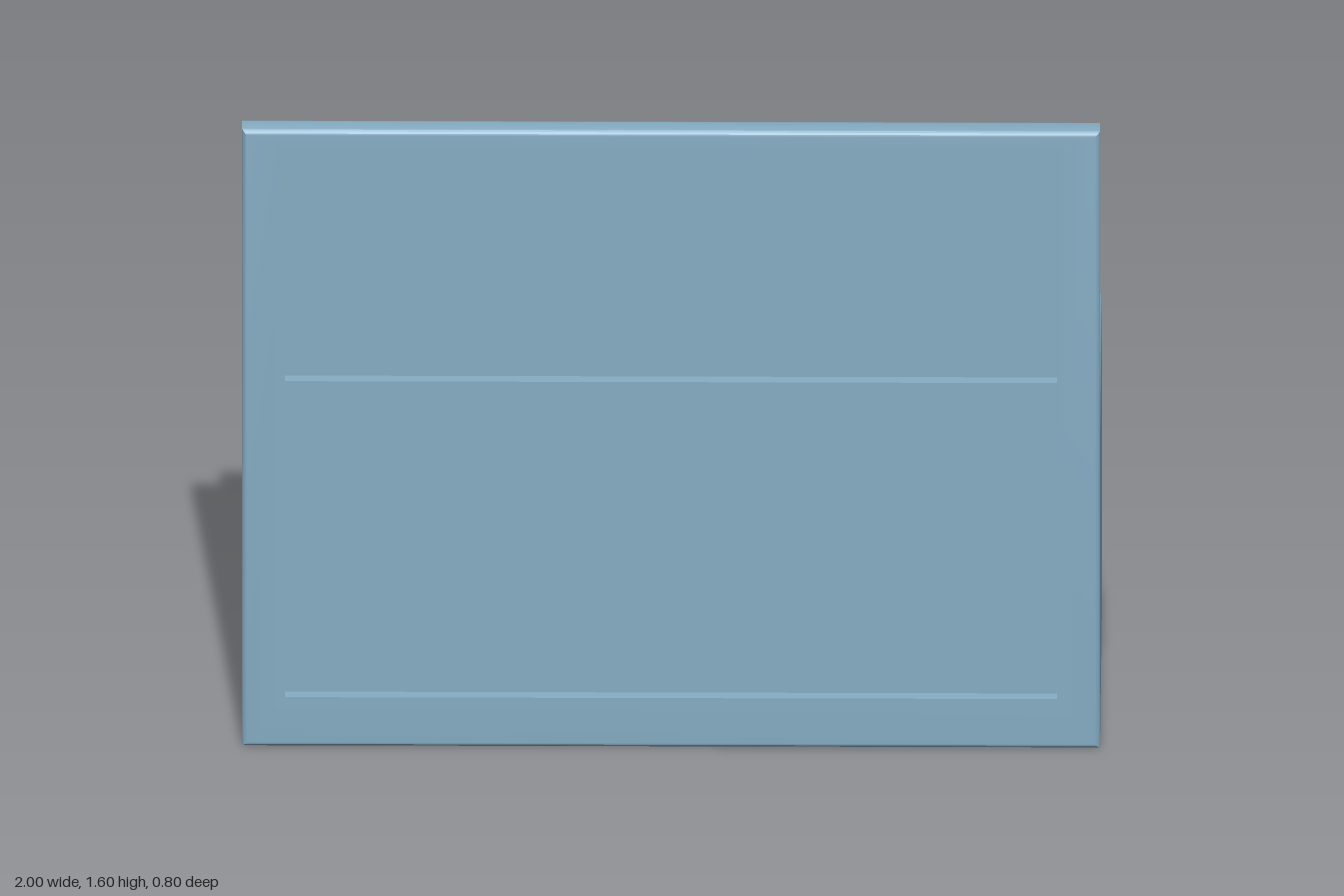
import * as THREE from 'three';
import { toCreasedNormals } from 'three/addons/utils/BufferGeometryUtils.js';
import { RoundedBoxGeometry } from 'three/addons/geometries/RoundedBoxGeometry.js';

const HALF_W = 1, HEIGHT = 1.6, BACK = -0.4, FRONT = 0.4, PANEL = 0.063;
const BOX_H = 0.8, GAP = 0.19, WALL = 0.05, BEVEL = 0.013;
const RECESS_X = 0.9, RECESS_DEPTH = 0.03;
const RECESSES = [[0.13, 0.73], [0.95, 1.55]];

function rectangle(Type, x0, y0, x1, y1) {
  return new Type([[x0, y0], [x1, y0], [x1, y1], [x0, y1]].map(([x, y]) => new THREE.Vector2(x, y)));
}

// Front frame: rounded outer edges, sharp straight-sided openings
function frameGeometry() {
  const shape = rectangle(THREE.Shape, -HALF_W + BEVEL, BEVEL, HALF_W - BEVEL, HEIGHT - BEVEL);
  for (const [y0, y1] of RECESSES) shape.holes.push(rectangle(THREE.Path, -RECESS_X, y0, RECESS_X, y1));
  const geometry = new THREE.ExtrudeGeometry(shape, {
    depth: PANEL - 2 * BEVEL, bevelEnabled: true, bevelSize: BEVEL, bevelThickness: BEVEL, bevelSegments: 4,
  });
  geometry.translate(0, 0, FRONT - PANEL + BEVEL);
  // Snap the opening's corners back onto its outline so only the outside stays rounded
  const p = geometry.attributes.position;
  const levels = RECESSES.flat();
  for (let i = 0; i < p.count; i++) {
    if (Math.abs(p.getX(i)) > 0.95) continue;
    p.setX(i, Math.sign(p.getX(i)) * RECESS_X);
    const y = p.getY(i);
    p.setY(i, levels.reduce((a, b) => (Math.abs(b - y) < Math.abs(a - y) ? b : a)));
  }
  return toCreasedNormals(geometry, 0.6);
}

export function createModel() {
  const model = new THREE.Group();
  model.name = 'counter';
  const blue = new THREE.MeshStandardMaterial({ color: 0x86adc4 });
  blue.name = 'greyBlue';

  const add = (parent, name, geometry) => {
    const mesh = new THREE.Mesh(geometry, blue);
    mesh.name = name;
    parent.add(mesh);
    return mesh;
  };
  // Rounded slab given by its extents
  const slab = (parent, name, [x0, x1], [y0, y1], [z0, z1]) => {
    const geometry = new RoundedBoxGeometry(x1 - x0, y1 - y0, z1 - z0, 3, BEVEL);
    add(parent, name, geometry).position.set((x0 + x1) / 2, (y0 + y1) / 2, (z0 + z1) / 2);
  };

  // Tall front panel with two recessed fields
  const panel = new THREE.Group();
  panel.name = 'frontPanel';
  model.add(panel);
  add(panel, 'panelFrame', frameGeometry());
  const fieldDepth = PANEL - RECESS_DEPTH;
  for (const [y0, y1] of RECESSES) {
    add(panel, 'recessedField', new THREE.BoxGeometry(2 * RECESS_X, y1 - y0, fieldDepth))
      .position.set(0, (y0 + y1) / 2, FRONT - PANEL + fieldDepth / 2);
  }

  // Two open bins behind the panel, with a gap between them
  for (const side of [1, -1]) {
    const bin = new THREE.Group();
    bin.name = side > 0 ? 'leftBin' : 'rightBin';
    model.add(bin);
    const span = (a, b) => (side > 0 ? [a, b] : [-b, -a]);
    const depth = [BACK, FRONT - 0.02];
    slab(bin, 'sideWall', span(HALF_W - WALL, HALF_W), [0, BOX_H], depth);
    slab(bin, 'backWall', span(GAP, HALF_W), [0, BOX_H], [BACK, BACK + WALL]);
    slab(bin, 'floor', span(GAP, HALF_W), [0, WALL], depth);
  }
  return model;
}
